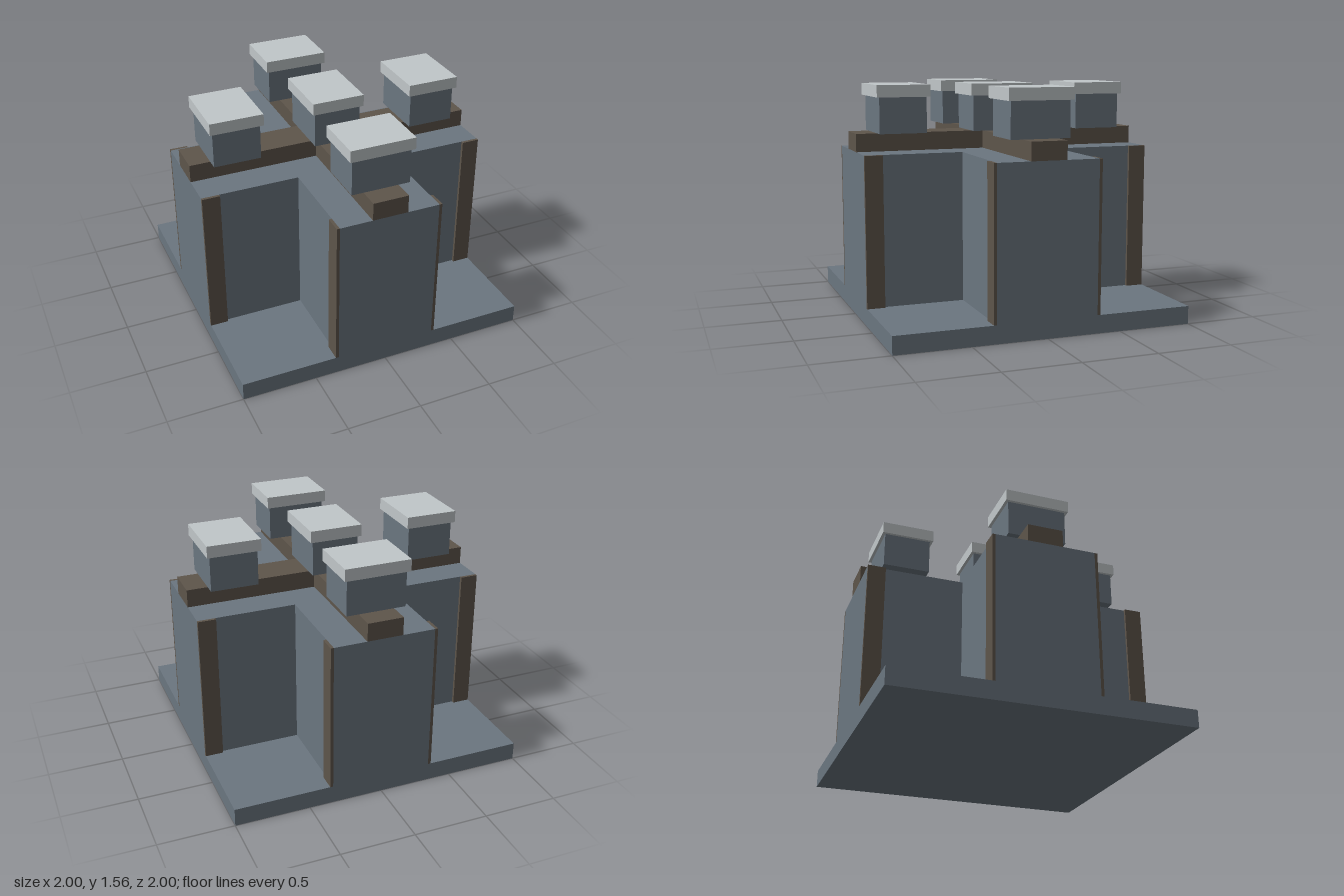
import * as THREE from 'three';

const slate = new THREE.MeshStandardMaterial({ color: 0x6b7680 });
slate.name = 'slate grey';
const brown = new THREE.MeshStandardMaterial({ color: 0x5e554b });
brown.name = 'dark brown';
const pale = new THREE.MeshStandardMaterial({ color: 0xc1c7c9 });
pale.name = 'pale grey';

// Box given by its size, ground centre and bottom height
function box(parent, name, material, w, h, d, x, y, z) {
  const mesh = new THREE.Mesh(new THREE.BoxGeometry(w, h, d), material);
  mesh.name = name;
  mesh.position.set(x, y + h / 2, z);
  parent.add(mesh);
  return mesh;
}

export function createModel() {
  const model = new THREE.Group();
  model.name = 'crossBlock';

  // Square base slab and the heart of the cross
  box(model, 'base', slate, 2, 0.12, 2, 0, 0, 0);
  box(model, 'coreWall', slate, 0.68, 1, 0.68, 0, 0.12, 0);
  box(model, 'coreBeam', brown, 0.24, 0.12, 0.24, 0, 1.12, 0);

  // Four equal wings, each built along +z and turned into place
  for (let i = 0; i < 4; i++) {
    const wing = new THREE.Group();
    wing.name = 'wing' + (i + 1);
    wing.rotation.y = (i * Math.PI) / 2;
    model.add(wing);

    box(wing, 'wingWall', slate, 0.68, 1, 0.66, 0, 0.12, 0.67);
    box(wing, 'ridgeBeam', brown, 0.24, 0.12, 0.88, 0, 1.12, 0.56);
    // Corner trims standing proud of the wing sides
    for (const side of [-1, 1]) {
      box(wing, 'cornerTrim', brown, 0.02, 1, 0.12, side * 0.35, 0.12, 0.94);
    }
    box(wing, 'pillar', slate, 0.4, 0.24, 0.32, 0, 1.24, 0.7);
    box(wing, 'pillarCap', pale, 0.44, 0.08, 0.36, 0, 1.48, 0.7);
  }

  // Centre pillar
  box(model, 'centrePillar', slate, 0.32, 0.24, 0.4, 0, 1.24, 0);
  box(model, 'centrePillarCap', pale, 0.36, 0.08, 0.44, 0, 1.48, 0);

  return model;
}
